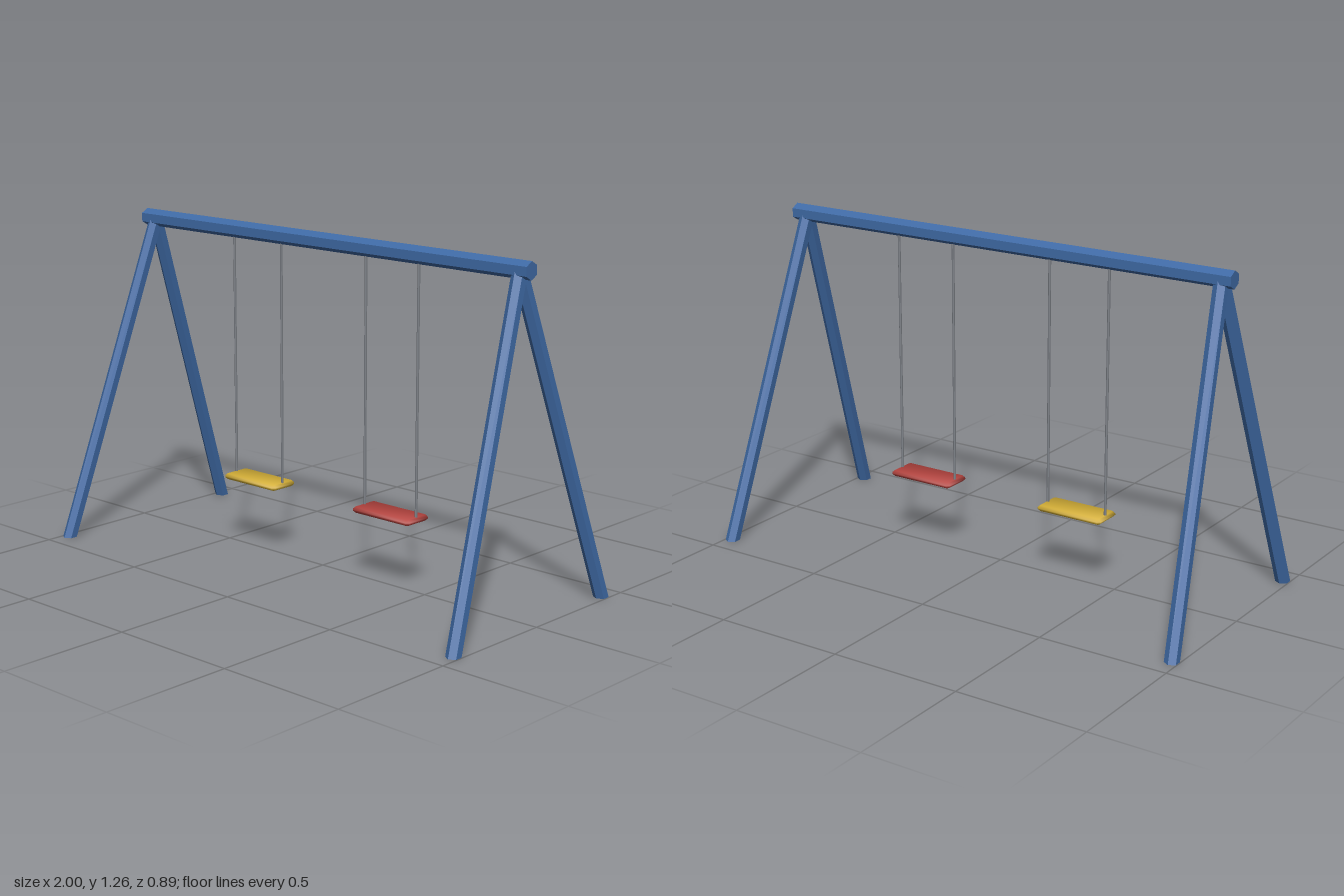
import * as THREE from 'three';

const material = (name, color, flatShading = true) => {
  const m = new THREE.MeshStandardMaterial({ color, flatShading });
  m.name = name;
  return m;
};

// Straight pole between two points, cut level at the "from" end; a corner faces +z
function pole(name, from, to, radius, sides, mat) {
  const direction = to.clone().sub(from);
  const length = direction.length();
  direction.normalize();
  const geometry = new THREE.CylinderGeometry(radius, radius, length, sides);
  const mesh = new THREE.Mesh(geometry, mat);
  mesh.name = name;
  mesh.position.copy(from).add(to).multiplyScalar(0.5);
  mesh.quaternion.setFromUnitVectors(new THREE.Vector3(0, 1, 0), direction);
  const p = geometry.attributes.position;
  const corner = new THREE.Vector3();
  for (let i = 0; i < p.count; i++) {
    if (p.getY(i) > 0) continue;
    corner.fromBufferAttribute(p, i).applyQuaternion(mesh.quaternion).add(mesh.position);
    p.setY(i, p.getY(i) + (from.y - corner.y) / direction.y);
  }
  return mesh;
}

// Thin board with bevelled rim, clipped corners and softly blended normals
function seatGeometry() {
  const bevel = 0.01, thick = 0.009, depth = 0.004, clip = 0.005;
  const x = 0.136 - bevel, z = 0.061 - bevel;
  const outline = [
    [x - clip, -z], [x, clip - z], [x, z - clip], [x - clip, z],
    [clip - x, z], [-x, z - clip], [-x, clip - z], [clip - x, -z],
  ].map(([a, b]) => new THREE.Vector2(a, b));
  const geometry = new THREE.ExtrudeGeometry(new THREE.Shape(outline), {
    depth, bevelSize: bevel, bevelThickness: thick, bevelSegments: 1,
  });
  geometry.translate(0, 0, -depth / 2).rotateX(-Math.PI / 2);
  const p = geometry.attributes.position;
  const n = new THREE.Vector3();
  for (let i = 0; i < p.count; i++) {
    n.set(Math.sign(p.getX(i)) * 0.35, p.getY(i) * 90, Math.sign(p.getZ(i)) * 0.45).normalize();
    geometry.attributes.normal.setXYZ(i, n.x, n.y, n.z);
  }
  return geometry;
}

export function createModel() {
  const model = new THREE.Group();
  model.name = 'swingSet';
  const blue = material('blue frame', 0x3f6aa5);
  const grey = material('grey chain', 0x7c8086);
  const yellow = material('yellow seat', 0xd4af37, false);
  const red = material('red seat', 0xb5443f, false);
  const v = (x, y, z) => new THREE.Vector3(x, y, z);

  // Hexagonal top beam with an edge pointing up
  const beamGeometry = new THREE.CylinderGeometry(0.033, 0.033, 1.886, 6);
  beamGeometry.rotateX(Math.PI / 2).rotateY(Math.PI / 2);
  const beam = new THREE.Mesh(beamGeometry, blue);
  beam.name = 'topBeam';
  beam.position.y = 1.227;
  model.add(beam);

  const board = seatGeometry();
  for (const side of [-1, 1]) {
    const label = side > 0 ? 'left' : 'right';

    // Splayed pair of hexagonal legs
    for (const end of [-1, 1]) {
      model.add(pole(label + (end > 0 ? 'FrontLeg' : 'BackLeg'),
        v(side * 0.974, 0, end * 0.415), v(side * 0.894, 1.222, 0), 0.027, 6, blue));
    }

    // Swing: two chains and a bevelled seat
    const swing = new THREE.Group();
    swing.name = label + 'Swing';
    swing.position.x = side * 0.333;
    for (const dx of [-0.123, 0.123]) {
      swing.add(pole('chain', v(dx, 0.27, 0), v(dx, 1.22, 0), 0.0052, 6, grey));
    }
    const seat = new THREE.Mesh(board, side > 0 ? red : yellow);
    seat.name = 'seat';
    seat.position.y = 0.27;
    swing.add(seat);
    model.add(swing);
  }
  return model;
}
